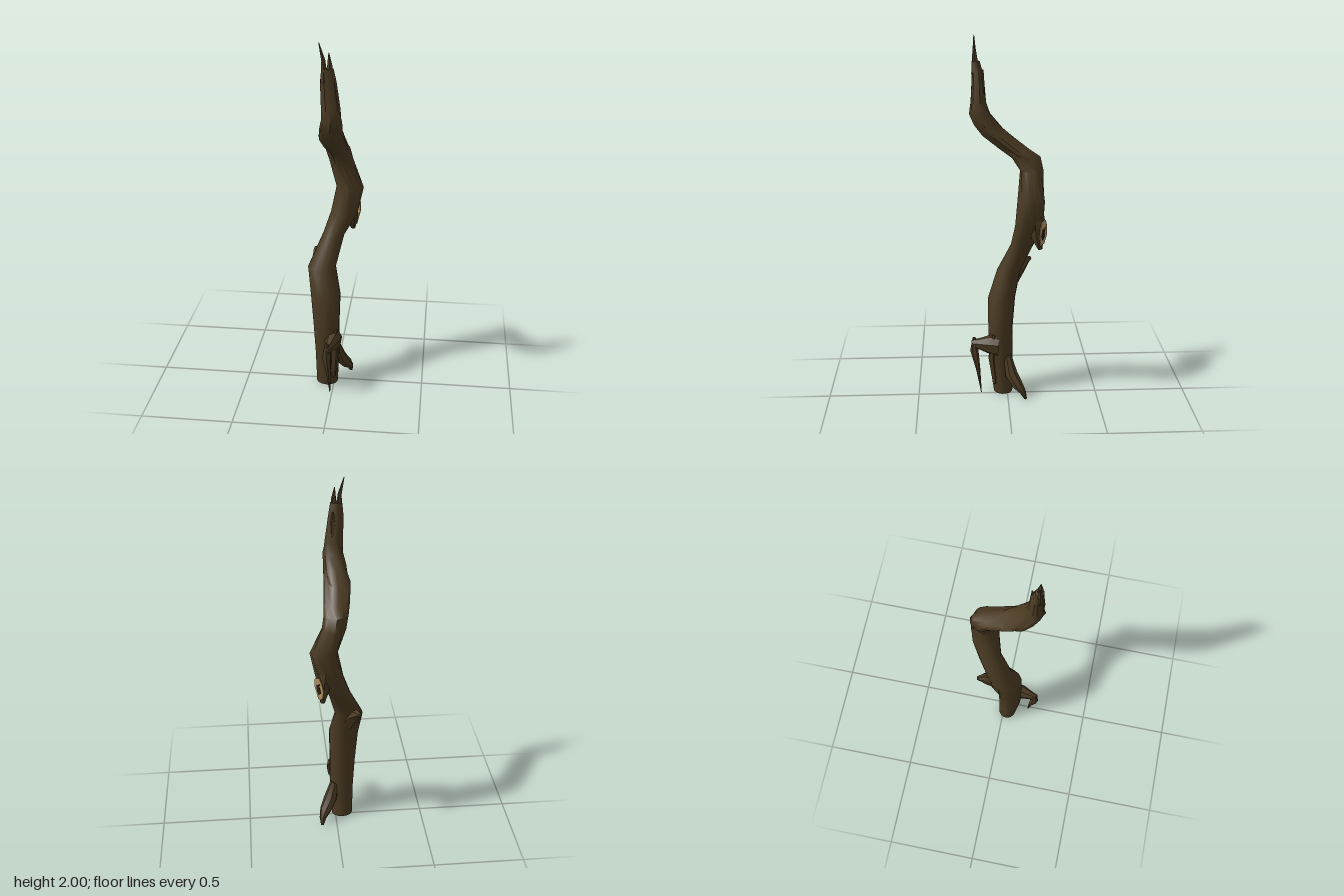
import * as THREE from 'three';
import { toCreasedNormals } from 'three/addons/utils/BufferGeometryUtils.js';

const V = (x, y, z) => new THREE.Vector3(x, y, z);

// Skin a list of equal-sized point rings and close both ends with fans.
function skin(rings, crease = 0.75) {
  const n = rings[0].length, pos = [], idx = [];
  const add = (p) => pos.push(p.x, Math.max(0, p.y), p.z);
  rings.forEach((r) => r.forEach(add));
  for (let i = 0; i < rings.length - 1; i++) {
    for (let j = 0; j < n; j++) {
      const k = (j + 1) % n, a = i * n + j, b = i * n + k;
      idx.push(a, b, a + n, b, b + n, a + n);
    }
  }
  [0, rings.length - 1].forEach((i) => {
    const c = V(0, 0, 0);
    rings[i].forEach((p) => c.addScaledVector(p, 1 / n));
    const ci = pos.length / 3;
    add(c);
    for (let j = 0; j < n; j++) {
      const a = i * n + j, b = i * n + (j + 1) % n;
      if (i === 0) idx.push(ci, b, a); else idx.push(ci, a, b);
    }
  });
  const geo = new THREE.BufferGeometry();
  geo.setAttribute('position', new THREE.Float32BufferAttribute(pos, 3));
  geo.setIndex(idx);
  return toCreasedNormals(geo, crease);
}

// Tapering limb along a path of [x, y, z, radius] with a sideways stretch.
function limb(path, sides = 7, stretch = 1) {
  const pts = path.map((p) => V(p[0], p[1], p[2]));
  return skin(pts.map((p, i) => {
    const t = pts[Math.min(i + 1, pts.length - 1)].clone().sub(pts[Math.max(i - 1, 0)]).normalize();
    const u = V(1, 0, 0).cross(t).normalize(), v = t.clone().cross(u);
    return Array.from({ length: sides }, (_, j) => {
      const a = (j / sides) * Math.PI * 2, r = path[i][3];
      return p.clone().addScaledVector(u, r * Math.cos(a)).addScaledVector(v, r * stretch * Math.sin(a));
    });
  }), 0.6);
}

export function createModel() {
  const group = new THREE.Group();
  const mat = (name, color) => {
    const m = new THREE.MeshStandardMaterial({ color, side: THREE.DoubleSide });
    m.name = name;
    return m;
  };
  const bark = mat('bark', 0x4a3a22);
  const wood = mat('bareWood', 0xbd9664);
  const hollow = mat('darkHollow', 0x2a2013);
  const add = (name, geo, m = bark) => {
    const mesh = new THREE.Mesh(geo, m);
    mesh.name = name;
    group.add(mesh);
    return mesh;
  };

  // Trunk: height, then x range and z range of each section
  const sections = [
    [0, -0.1, 0.02, -0.03, 0.075], [0.2, -0.105, 0.03, -0.03, 0.1], [0.37, -0.115, 0.03, -0.03, 0.105],
    [0.56, -0.13, 0.035, -0.045, 0.105], [0.71, -0.15, 0.005, -0.075, 0.055], [0.88, -0.075, 0.045, -0.145, -0.02],
    [1.0, -0.035, 0.115, -0.19, -0.04], [1.15, -0.005, 0.147, -0.2, -0.05], [1.3, -0.045, 0.085, -0.19, -0.062],
    [1.37, -0.06, 0.072, -0.175, -0.015], [1.41, -0.072, 0.065, -0.115, 0.04], [1.48, -0.085, 0.058, -0.025, 0.13],
    [1.54, -0.07, 0.055, 0.035, 0.175], [1.6, -0.055, 0.055, 0.085, 0.2], [1.66, -0.053, 0.046, 0.11, 0.195],
    [1.8, -0.057, 0.026, 0.122, 0.186], [1.87, -0.05, 0.012, 0.142, 0.184],
  ];
  const sides = 14;
  add('trunk', skin(sections.map(([y, x0, x1, z0, z1], i) =>
    Array.from({ length: sides }, (_, j) => {
      const a = (j / sides) * Math.PI * 2;
      // Bark grooves appear above the second bend
      const groove = y > 1.1 ? 1 - 0.13 * ((j + (i >> 1)) % 3 === 1 ? 1 : 0) : 1;
      return V((x0 + x1) / 2 + (x1 - x0) / 2 * Math.sin(a) * groove, y,
        (z0 + z1) / 2 + (z1 - z0) / 2 * Math.cos(a) * groove);
    }))));

  // Splintered top
  add('tallSplinter', limb([[-0.035, 1.8, 0.168, 0.018], [-0.037, 1.91, 0.168, 0.011], [-0.06, 2, 0.17, 0.002]], 5));
  add('shortSplinter', limb([[-0.012, 1.82, 0.162, 0.02], [-0.006, 1.89, 0.165, 0.013], [-0.011, 1.95, 0.166, 0.002]], 5));
  add('backSplinter', limb([[-0.005, 1.7, 0.135, 0.022], [0, 1.77, 0.132, 0.016], [0.002, 1.83, 0.126, 0.004]], 5));

  // Broken branch at the front with its hanging strip
  add('brokenStub', limb([[-0.005, 0.29, 0.05, 0.07], [-0.005, 0.295, 0.11, 0.052], [-0.015, 0.295, 0.155, 0.034],
    [-0.025, 0.295, 0.198, 0.022]], 7, 0.75));
  add('hangingStrip', limb([[-0.025, 0.33, 0.185, 0.008], [-0.025, 0.255, 0.185, 0.023], [-0.018, 0.14, 0.164, 0.012],
    [-0.012, 0, 0.147, 0.002]], 6, 1.2));
  add('barkRidge', limb([[0.012, 0.36, 0.075, 0.012], [0.005, 0.22, 0.088, 0.022], [0, 0.06, 0.07, 0.014]], 5));

  // Root curling out at the back
  add('root', limb([[0.005, 0.23, 0, 0.022], [0.03, 0.13, -0.02, 0.035], [0.062, 0.075, -0.055, 0.03],
    [0.08, 0.04, -0.083, 0.018], [0.084, 0, -0.098, 0.008]], 7, 1.1));

  // Knot behind the first bend
  add('knot', limb([[-0.075, 0.66, -0.02, 0.05], [-0.098, 0.73, -0.075, 0.04], [-0.113, 0.757, -0.112, 0.022],
    [-0.122, 0.765, -0.135, 0.01]], 6));

  // Torn bark with bare wood around a small hollow
  add('tornBark', limb([[0.055, 1.14, -0.14, 0.04], [0.07, 1.04, -0.152, 0.044], [0.078, 0.95, -0.155, 0.036],
    [0.083, 0.88, -0.172, 0.012]], 7));
  const outline = (points) => new THREE.Shape(points.map(([x, y]) => new THREE.Vector2(x, y)));
  const plate = (name, points, m, lift) => {
    const mesh = add(name, new THREE.ExtrudeGeometry(outline(points), { depth: 0.006, bevelEnabled: false }), m);
    mesh.rotation.set(0.12, Math.PI * 0.75, 0, 'YXZ');
    mesh.position.set(0.1 + lift, 0.985, -0.184 - lift);
  };
  plate('bareWoodPatch', [[-0.012, -0.08], [0.016, -0.07], [0.03, -0.02], [0.022, 0.03], [0.008, 0.065],
    [-0.022, 0.05], [-0.03, 0], [-0.02, -0.04]], wood, 0);
  plate('hollowPatch', [[-0.004, -0.05], [0.012, -0.03], [0.006, 0.005], [0.01, 0.025], [-0.012, 0.012],
    [-0.014, -0.025]], hollow, 0.002);

  return group;
}
